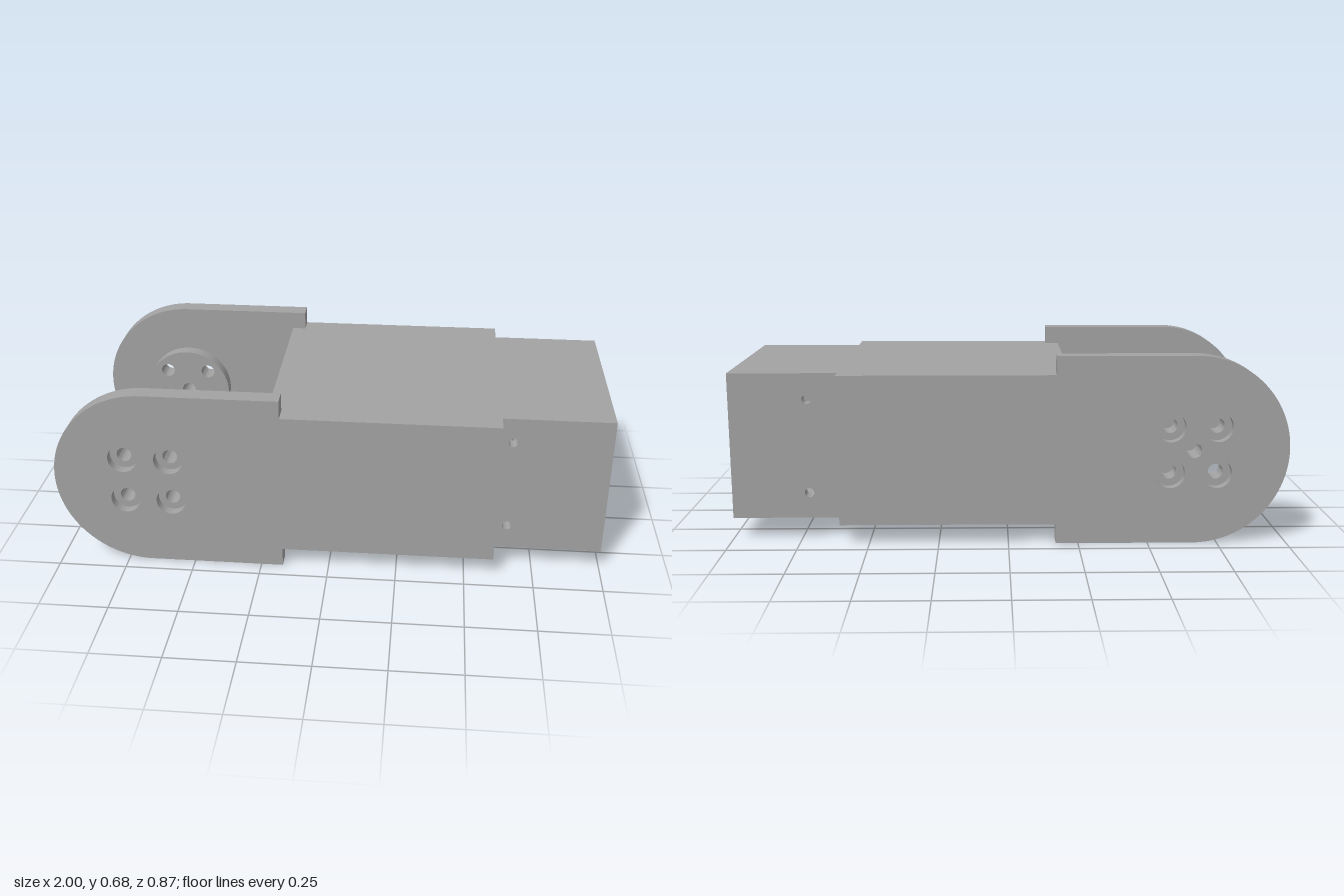
import * as THREE from 'three';
import { toCreasedNormals } from 'three/addons/utils/BufferGeometryUtils.js';

export function createModel() {
  const model = new THREE.Group();
  model.name = 'linkBracket';
  const grey = new THREE.MeshStandardMaterial({ color: 0xa2a2a2 });
  grey.name = 'grey';

  const px = -0.66, py = 0.34;           // pivot axis of the fork
  const boltR = 0.027, boreR = 0.053;
  const bolts = [-0.084, 0.084].flatMap(dx => [-0.084, 0.084].map(dy => [px + dx, py + dy]));

  const circle = (x, y, r) => new THREE.Path().absarc(x, y, r, 0, Math.PI * 2, true);
  const punch = (shape, points, r) => {
    points.forEach(([x, y]) => shape.holes.push(circle(x, y, r)));
    return shape;
  };

  // extrude an xy shape between two z planes
  function slab(name, shape, z0, z1, parent) {
    const geo = new THREE.ExtrudeGeometry(shape, { depth: z1 - z0, bevelEnabled: false, curveSegments: 32 });
    geo.translate(0, 0, z0);
    const mesh = new THREE.Mesh(toCreasedNormals(geo, 0.5), grey);
    mesh.name = name;
    parent.add(mesh);
  }

  function box(name, x0, x1, y0, y1, z0, z1) {
    const mesh = new THREE.Mesh(new THREE.BoxGeometry(x1 - x0, y1 - y0, z1 - z0), grey);
    mesh.position.set((x0 + x1) / 2, (y0 + y1) / 2, (z0 + z1) / 2);
    mesh.name = name;
    model.add(mesh);
  }

  // rounded fork ear that steps down into the side of the body
  function plateShape() {
    const s = new THREE.Shape();
    s.moveTo(px, 0);
    s.lineTo(-0.17, 0);
    s.lineTo(-0.17, 0.071);
    s.lineTo(0.605, 0.071);
    s.lineTo(0.605, 0.613);
    s.lineTo(-0.17, 0.613);
    s.lineTo(-0.17, 0.68);
    s.lineTo(px, 0.68);
    s.absarc(px, py, 0.34, Math.PI / 2, Math.PI * 1.5, false);
    return s;
  }
  const bossShape = () => new THREE.Shape().absarc(px, py, 0.168, 0, Math.PI * 2, false);

  // side plates with counterbored bolt holes and inner bosses;
  // only the back side has a centre hole
  for (const side of [1, -1]) {
    const ear = new THREE.Group();
    ear.name = side > 0 ? 'frontEar' : 'backEar';
    model.add(ear);
    const centre = side > 0 ? [] : [[px, py]];
    const bossEnd = side > 0 ? 0.298 : 0.322;
    const layer = (name, shape, a, b) =>
      slab(name, shape, Math.min(a * side, b * side), Math.max(a * side, b * side), ear);
    layer('outerPlate', punch(punch(plateShape(), bolts, boreR), centre, boltR), 0.402, 0.437);
    layer('innerPlate', punch(plateShape(), [...bolts, ...centre], boltR), 0.371, 0.402);
    layer('pivotBoss', punch(bossShape(), [...bolts, ...centre], boltR), bossEnd, 0.371);
  }

  // solid core between the plates
  box('bodyCore', -0.22, 0.605, 0.071, 0.613, -0.371, 0.371);

  // open rectangular socket: floor, roof and two drilled walls
  const [sx0, sx1, sy0, sy1] = [0.605, 1, 0.076, 0.609];
  box('socketFloor', sx0, sx1, sy0, 0.125, -0.308, 0.308);
  box('socketRoof', sx0, sx1, 0.56, sy1, -0.308, 0.308);
  for (const side of [1, -1]) {
    const wall = new THREE.Shape();
    wall.moveTo(sx0, sy0);
    wall.lineTo(sx1, sy0);
    wall.lineTo(sx1, sy1);
    wall.lineTo(sx0, sy1);
    const hx = side > 0 ? 0.65 : 0.72;
    punch(wall, [[hx, 0.17], [hx, 0.515]], 0.017);
    slab('socketWall', wall, side > 0 ? 0.308 : -0.357, side > 0 ? 0.357 : -0.308, model);
  }
  return model;
}
